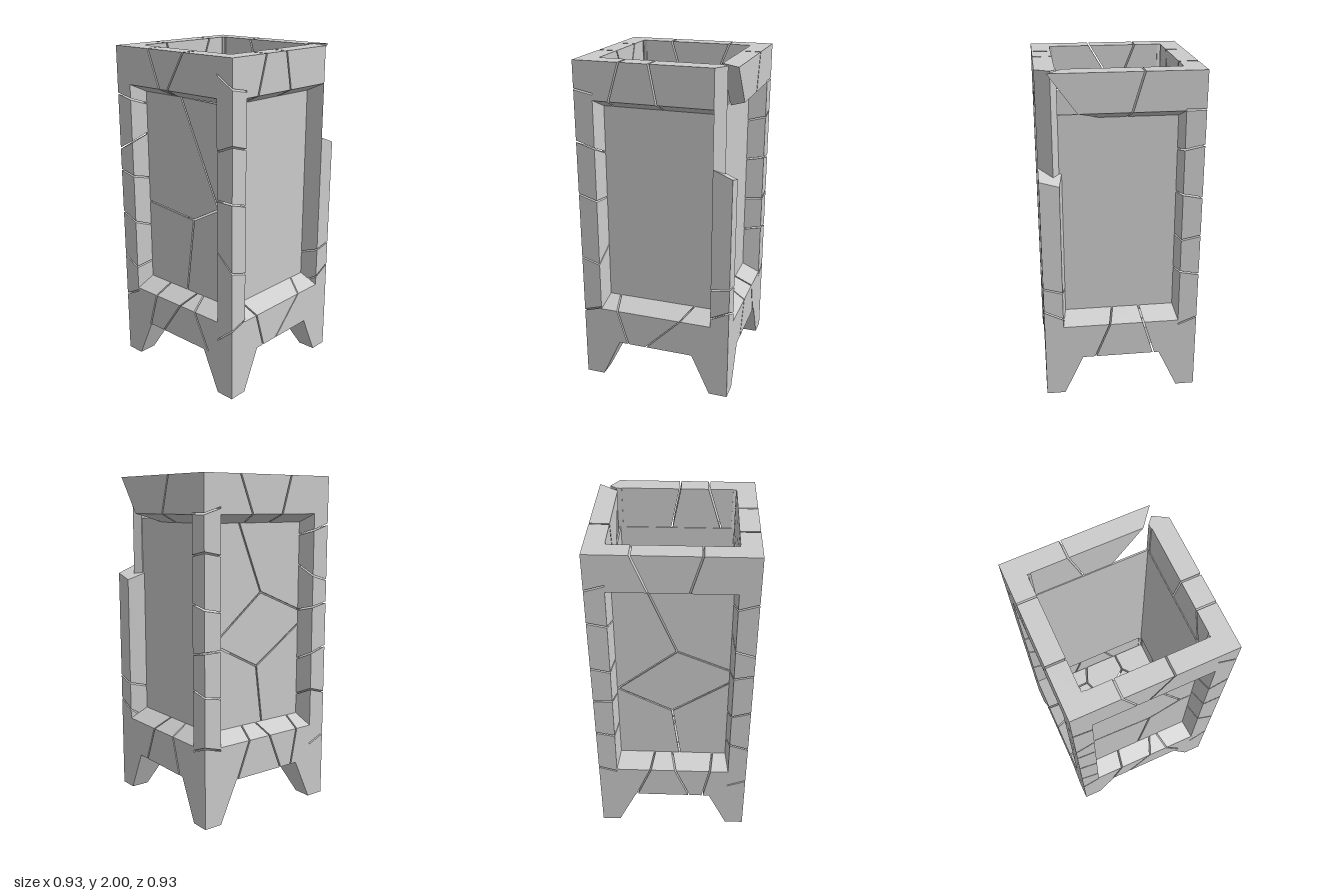
import * as THREE from 'three';

const stone = new THREE.MeshStandardMaterial({ color: 0xcccccc, flatShading: true });
const GAP = 0.005; // half the width of a crack

function add(parent, geometry, name) {
  const mesh = new THREE.Mesh(geometry, stone);
  mesh.name = name;
  parent.add(mesh);
  return mesh;
}

const shapeOf = (pts) => new THREE.Shape(pts.map(([x, y]) => new THREE.Vector2(x, y)));

// Prism of a (u, v) profile between two tilted cuts; place(u, v, w) sets the axes
function chunk(profile, low, high, centre, place) {
  const at = ([c, su = 0, sv = 0], u, v) => c + su * (u - centre[0]) + sv * (v - centre[1]);
  const g = new THREE.ExtrudeGeometry(shapeOf(profile), { depth: 1, bevelEnabled: false });
  const p = g.attributes.position;
  for (let i = 0; i < p.count; i++) {
    const u = p.getX(i), v = p.getY(i);
    const w = THREE.MathUtils.lerp(at(high, u, v), at(low, u, v), p.getZ(i));
    p.setXYZ(i, ...place(u, v, w));
  }
  g.computeVertexNormals();
  return g;
}
const alongX = (u, v, w) => [w, v, u];
const alongY = (u, v, w) => [u, w, v];
// Leaning upright, so that the cracks between floor stones are slanted
const leaning = (u, v, w) => [u + (w - 0.31) * 0.12, w, v + (w - 0.31) * 0.12];

// Row of chunks separated by cracks; the first and last cuts are the ends
function brokenBar(parent, name, profile, cuts, centre, place) {
  for (let i = 0; i + 1 < cuts.length; i++) {
    const low = [...cuts[i]], high = [...cuts[i + 1]];
    if (i > 0) low[0] += GAP;
    if (i + 2 < cuts.length) high[0] -= GAP;
    add(parent, chunk(profile, low, high, centre, place), name);
  }
}

// Keep the part of a convex polygon where n . p <= d
function clip(poly, nx, ny, d) {
  const out = [];
  poly.forEach((a, i) => {
    const b = poly[(i + 1) % poly.length];
    const da = a[0] * nx + a[1] * ny - d, db = b[0] * nx + b[1] * ny - d;
    if (da <= 0) out.push(a);
    if (da * db < 0) {
      const t = da / (da - db);
      out.push([a[0] + (b[0] - a[0]) * t, a[1] + (b[1] - a[1]) * t]);
    }
  });
  return out;
}

// Voronoi cell of one seed, shrunk to leave a crack
function cell(bounds, seeds, s) {
  return seeds.reduce((poly, o) => {
    if (o === s) return poly;
    const dx = o[0] - s[0], dy = o[1] - s[1], l = Math.hypot(dx, dy);
    const d = (dx * (s[0] + o[0]) + dy * (s[1] + o[1])) / (2 * l);
    return clip(poly, dx / l, dy / l, d - GAP);
  }, bounds);
}

export function createModel() {
  const model = new THREE.Group();
  model.name = 'crackedStoneBrazier';

  const postProfile = [[0.463, 0.463], [0.35, 0.463], [0.33, 0.355], [0.33, 0.345],
    [0.35, 0.35], [0.345, 0.33], [0.355, 0.33], [0.463, 0.35]];
  const topProfile = [[0.35, 1.73], [0.355, 1.73], [0.463, 1.78], [0.463, 2], [0.35, 2]];
  const bottomProfile = [[0.35, 0.25], [0.463, 0.25], [0.463, 0.47], [0.355, 0.53], [0.35, 0.53]];

  // Crack positions for each side: front, +x side, back, -x side
  const L = [-0.35], R = [0.35];
  const topCuts = [
    [L, [-0.13, 0, -0.4], [0.02, 0, 0.6], R],
    [L, [-0.23, 0, 0.3], [0.01, 0, -0.2], R],
    [[-0.26, -0.8, -0.73], [0.08, 0, 0.3], R],
    [L, [-0.16, 0, -0.4], [0.12, 0, 0.3], R]];
  const bottomCuts = [
    [L, [-0.2, 0, 0.3], [-0.02, 0, 0.7], [0.2, 0, -0.5], R],
    [L, [-0.22, 0, -0.3], [0.08, 0, 1], R],
    [L, [-0.1, 0, 0.4], [0.16, 0, -0.3], R],
    [L, [-0.17, 0, 0.4], [0.05, 0, -0.4], [0.22, 0, 0.2], R]];
  // Corner posts, counted from front left round by the back
  const B = [0.25], T = [2], breakCut = [1.41, -0.4, 0.3];
  const postCuts = [
    [B, [0.42, 0.8, -0.3], [0.84, -0.9, 0.3], [1.2, 0, 0.3], [1.5, 0.4, 0.3], [1.86, -0.6, 0.2], T],
    [B, [0.53, 0.5, 0.5], [0.71, 0.2, 0.3], breakCut],
    [B, [0.45, 0.4, 0.3], [0.78, -0.2, 0.2], [1.02, 0.2, 0], [1.27, -0.2, 0.2], [1.56, 0.2, 0.2], [1.8, 0, -0.3], T],
    [B, [0.4, 0.4, -0.5], [0.66, -0.3, 0.5], [0.93, 0.3, 0.4], [1.22, 0.2, 0.2], [1.42, -0.3, -0.5], [1.69, 0.3, 0.2], T]];

  // Panel pieces drawn on the outer face of each side
  const plain = [[[-0.35, 0.5], [0.35, 0.5], [0.35, 1.75], [-0.35, 1.75]]];
  const panelSeeds = [[-0.18, 0.75], [0.2, 0.8], [-0.2, 1.35], [0.17, 1.5], [0.0, 1.1]];
  const panels = [
    [[[-0.35, 1.045], [0.058, 1.009], [0.253, 1.115], [-0.035, 1.73], [-0.35, 1.73]],
      [[0.262, 1.118], [0.35, 1.118], [0.35, 1.72], [-0.025, 1.73]],
      [[-0.35, 0.5], [-0.016, 0.5], [0.052, 1.0], [-0.35, 1.036]],
      [[-0.007, 0.5], [0.35, 0.5], [0.35, 1.109], [0.262, 1.109], [0.062, 1.0]]],
    plain, plain,
    panelSeeds.map((s) => cell(plain[0], panelSeeds, s))];

  for (let k = 0; k < 4; k++) {
    const side = new THREE.Group();
    side.name = ['front', 'leftSide', 'back', 'rightSide'][k];
    side.rotation.y = k * Math.PI / 2;
    model.add(side);

    brokenBar(side, 'topRail', topProfile, topCuts[k], [0.41, 1.865], alongX);
    brokenBar(side, 'bottomRail', bottomProfile, bottomCuts[k], [0.41, 0.39], alongX);
    brokenBar(side, 'cornerPost', postProfile, postCuts[k], [0.41, 0.41], alongY);

    // Remnant of the post whose outer corner has broken away
    if (k === 1) {
      const remnant = [[0.35, 0.463], [0.33, 0.355], [0.33, 0.345], [0.36, 0.345], [0.4, 0.38]];
      add(side, chunk(remnant, breakCut, T, [0.41, 0.41], alongY), 'brokenPost');
    }

    // Recessed panel
    for (const poly of panels[k]) {
      const g = new THREE.ExtrudeGeometry(shapeOf(poly), { depth: 0.01, bevelEnabled: false });
      add(side, g.translate(0, 0, 0.345), 'panel');
    }

    // Leg: square, tapering to the foot along its two inner faces
    const leg = new THREE.BoxGeometry(1, 0.25, 1).translate(-0.5, 0.125, -0.5);
    const p = leg.attributes.position;
    for (let i = 0; i < p.count; i++) {
      const w = p.getY(i) > 0.1 ? 0.228 : 0.113;
      p.setX(i, 0.463 + p.getX(i) * w);
      p.setZ(i, 0.463 + p.getZ(i) * w);
    }
    leg.computeVertexNormals();
    add(side, leg, 'leg');
  }

  // Cracked floor slab
  const floorBounds = [[-0.35, -0.35], [0.35, -0.35], [0.35, 0.35], [-0.35, 0.35]];
  const floorSeeds = [[-0.24, -0.14], [-0.25, -0.33], [0.0, -0.23], [0.1, -0.1], [0.27, -0.24],
    [0.27, -0.01], [0.05, 0.05], [-0.21, 0.11], [-0.06, 0.24], [0.12, 0.21], [0.26, 0.29], [-0.31, 0.31]];
  for (const s of floorSeeds) {
    const poly = cell(floorBounds, floorSeeds, s);
    add(model, chunk(poly, [0.25], [0.36], [0, 0], leaning), 'floorStone');
  }
  return model;
}
